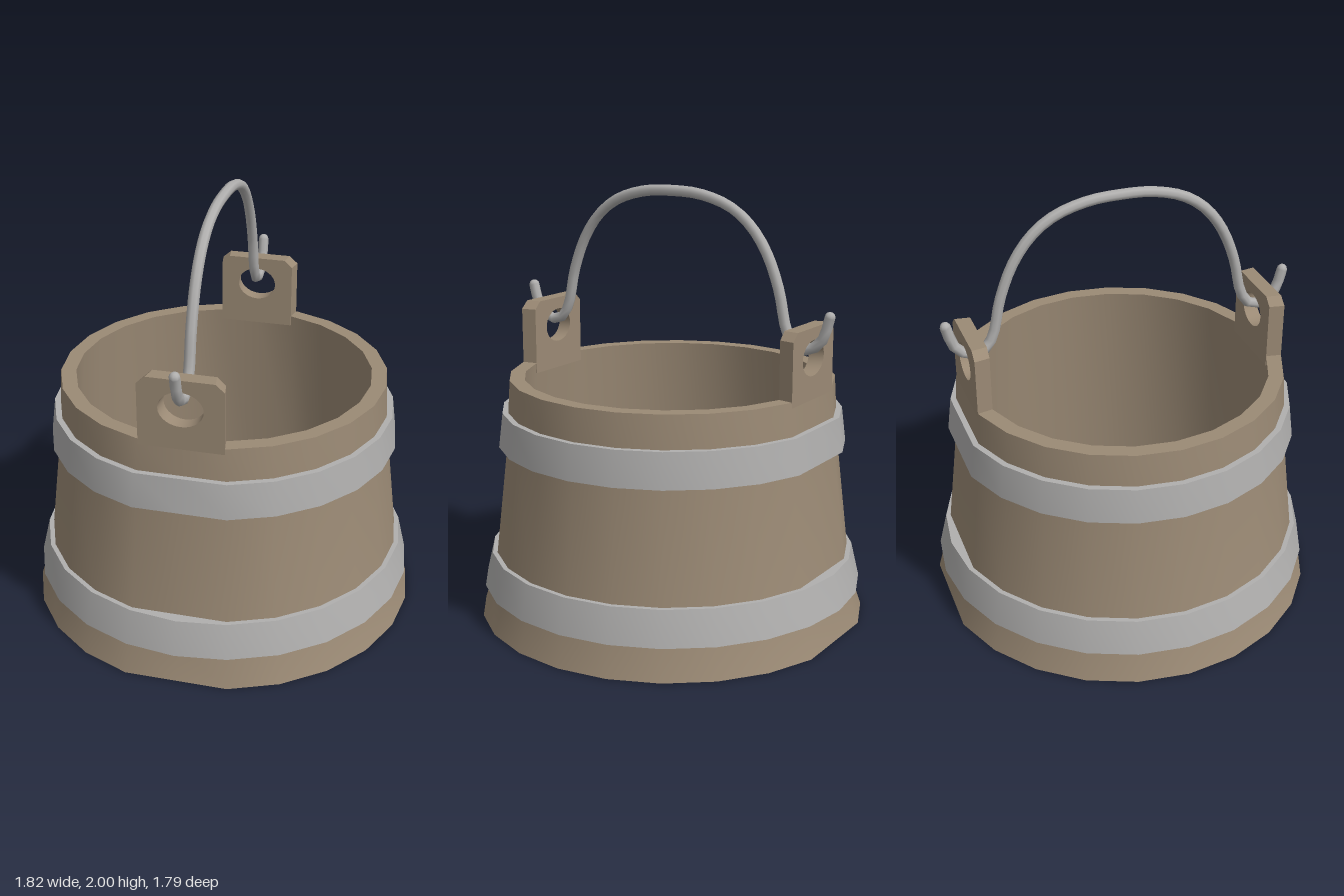
import * as THREE from 'three';
import { toCreasedNormals } from 'three/addons/utils/BufferGeometryUtils.js';

const SIDES = 24;
const FLAT = Math.cos(Math.PI * 2 / SIDES);

const wood = new THREE.MeshStandardMaterial({ color: 0x9b8a75 });
wood.name = 'wood';
const iron = new THREE.MeshStandardMaterial({ color: 0xb0afae });
iron.name = 'iron';

function addMesh(parent, name, geometry, material) {
  const mesh = new THREE.Mesh(geometry, material);
  mesh.name = name;
  parent.add(mesh);
  return mesh;
}

// Turned part; flatEnds makes the front and back flat where the lugs stand
function turned(profile, flatEnds) {
  const geo = new THREE.LatheGeometry(profile.map(([r, y]) => new THREE.Vector2(r, y)), SIDES);
  if (flatEnds) {
    const pos = geo.attributes.position;
    for (let i = 0; i < pos.count; i++) {
      if (Math.abs(pos.getX(i)) < 1e-4) pos.setZ(i, pos.getZ(i) * FLAT);
    }
  }
  return toCreasedNormals(geo, 0.6);
}

// Lug plate with clipped top corners and an oval hole, narrower inside
function lugGeometry() {
  const shape = new THREE.Shape([
    [-0.19, 1.08], [0.19, 1.08], [0.19, 1.39], [0.15, 1.425], [-0.15, 1.425], [-0.19, 1.39],
  ].map(([x, y]) => new THREE.Vector2(x, y)));
  const hole = new THREE.Path();
  hole.absellipse(0, 1.29, 0.1, 0.08, 0, Math.PI * 2, true);
  shape.holes.push(hole);
  const geo = new THREE.ExtrudeGeometry(shape, { depth: 0.07, bevelEnabled: false, curveSegments: 14 });
  geo.translate(0, 0, 0.661);
  const pos = geo.attributes.position;
  for (let i = 0; i < pos.count; i++) {
    if (pos.getZ(i) < 0.7) pos.setX(i, pos.getX(i) * 0.93);
  }
  return toCreasedNormals(geo, 0.6);
}

export function createModel() {
  const bucket = new THREE.Group();
  bucket.name = 'bucket';

  // Wooden tub with recessed underside, wall and inner floor
  addMesh(bucket, 'tub', turned([
    [0, 0.05], [0.82, 0.05], [0.83, 0], [0.91, 0], [0.86, 0.15], [0.835, 0.31],
    [0.775, 0.82], [0.765, 0.98], [0.755, 1.13], [0.685, 1.13], [0.775, 0.1], [0, 0.1],
  ], true), wood);

  // Iron hoops
  addMesh(bucket, 'lowerHoop', turned([
    [0.82, 0.15], [0.895, 0.15], [0.857, 0.31], [0.8, 0.31], [0.82, 0.15],
  ], false), iron);
  addMesh(bucket, 'upperHoop', turned([
    [0.75, 0.82], [0.812, 0.82], [0.792, 0.98], [0.74, 0.98], [0.75, 0.82],
  ], true), iron);

  // Lugs at front and back
  const lug = lugGeometry();
  addMesh(bucket, 'frontLug', lug, wood);
  addMesh(bucket, 'backLug', lug, wood).rotation.y = Math.PI;

  // Bail handle, hooked through both lugs
  const half = [
    [0.805, 1.475], [0.77, 1.37], [0.7, 1.32], [0.635, 1.335], [0.595, 1.4],
    [0.555, 1.57], [0.49, 1.73], [0.405, 1.845], [0.3, 1.92], [0.15, 1.965],
  ];
  const path = [
    ...half.map(([z, y]) => new THREE.Vector3(0, y, z)),
    new THREE.Vector3(0, 1.974, 0),
    ...half.slice().reverse().map(([z, y]) => new THREE.Vector3(0, y, -z)),
  ];
  const curve = new THREE.CatmullRomCurve3(path, false, 'centripetal');
  addMesh(bucket, 'handle', new THREE.TubeGeometry(curve, 48, 0.025, 8), iron);

  // Rounded tips of the hooks
  for (const side of [1, -1]) {
    const tip = addMesh(bucket, side > 0 ? 'frontHookTip' : 'backHookTip',
      new THREE.SphereGeometry(0.025, 8, 6), iron);
    tip.position.set(0, 1.475, side * 0.805);
  }
  return bucket;
}
